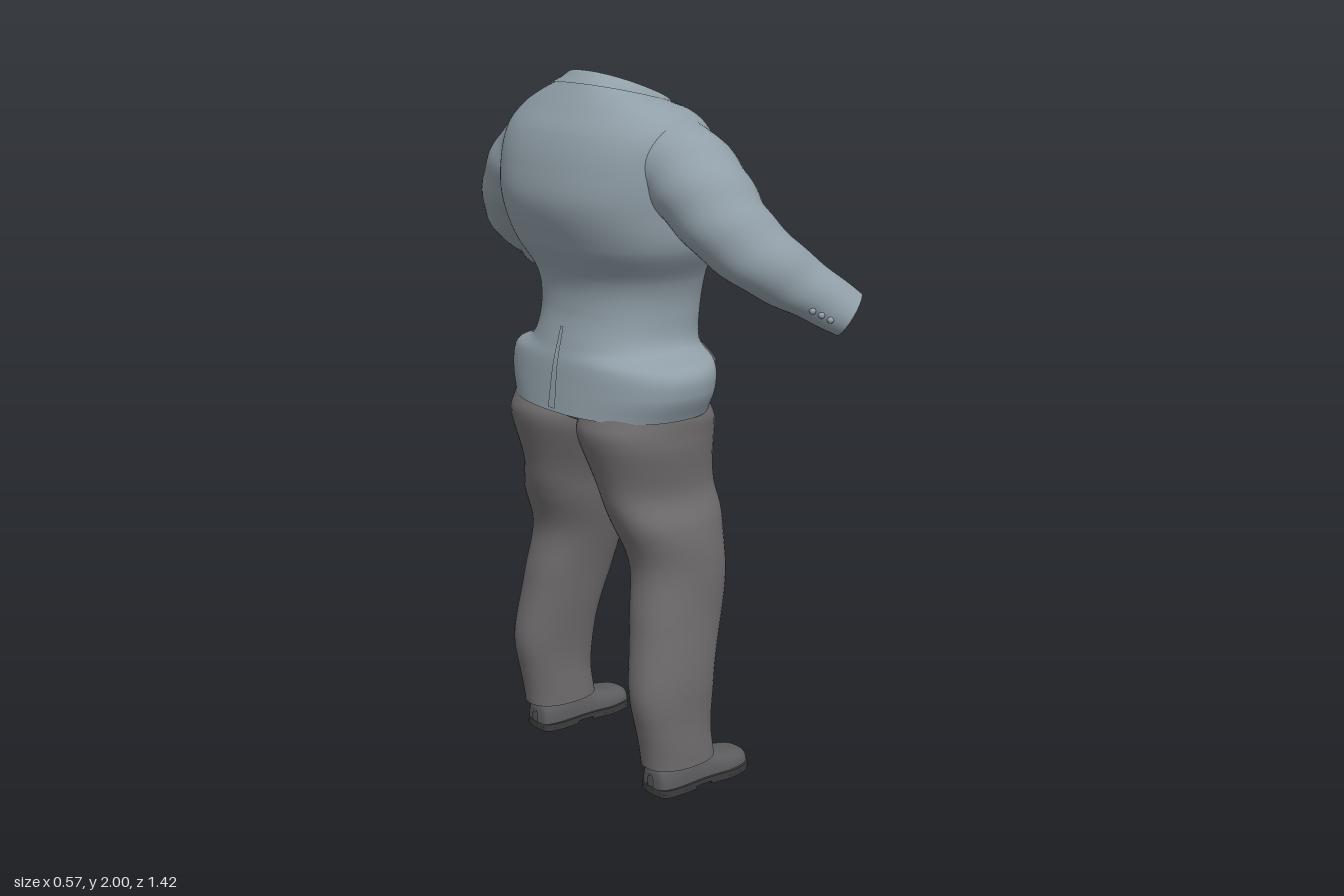
import * as THREE from 'three';
import { ParametricGeometry } from 'three/addons/geometries/ParametricGeometry.js';

const mat = (name, color) => {
  const m = new THREE.MeshStandardMaterial({ color, side: THREE.DoubleSide });
  m.name = name;
  return m;
};

// Smoothly interpolates table rows; t runs from 0 to 1
function rowSampler(rows) {
  const n = rows[0].length, curves = [];
  for (let i = 0; i < n; i += 3) {
    curves.push(new THREE.CatmullRomCurve3(
      rows.map(r => new THREE.Vector3(r[i], r[i + 1] ?? 0, r[i + 2] ?? 0)), false, 'catmullrom', 0.5));
  }
  return t => curves.flatMap(c => c.getPoint(THREE.MathUtils.clamp(t, 0, 1)).toArray());
}
const spow = (v, e) => Math.sign(v) * Math.abs(v) ** e;

// Jacket body rings: height, centre x, half depth, half width, forward tilt
const bodyRows = [
  [1.09, -0.035, 0.215, 0.312, 0], [1.16, -0.03, 0.21, 0.345, 0], [1.225, -0.025, 0.205, 0.337, 0],
  [1.27, -0.015, 0.202, 0.245, 0], [1.36, 0, 0.195, 0.232, 0], [1.45, 0, 0.2, 0.252, 0],
  [1.55, -0.025, 0.228, 0.312, 0], [1.66, -0.04, 0.25, 0.33, 0], [1.76, -0.045, 0.235, 0.34, 0],
  [1.83, -0.04, 0.212, 0.335, -0.05], [1.88, -0.032, 0.18, 0.3, -0.1], [1.915, -0.02, 0.155, 0.23, -0.19],
  [1.935, -0.01, 0.138, 0.15, -0.3], [1.952, -0.003, 0.125, 0.122, -0.36],
  [1.945, 0, 0.11, 0.113, -0.36], [1.9, 0, 0.105, 0.11, -0.3],
];
const body = rowSampler(bodyRows);
const topT = 13 / 15;

function bodyPoint(t, a, off, out) {
  const [y, cx, rx, rz, tilt] = body(t);
  const x = cx + (rx + off) * spow(Math.cos(a), 0.87);
  const z = -(rz + off) * spow(Math.sin(a), 0.87);
  return out.set(x, y + tilt * x, z);
}

// Finds the jacket surface at a height and sideways position
function onBody(y, z, off, dir, out) {
  let lo = 0, hi = topT;
  for (let i = 0; i < 24; i++) {
    const t = (lo + hi) / 2, rz = body(t)[3];
    const s = spow(THREE.MathUtils.clamp(-z / rz, -1, 1), 1 / 0.87);
    const a = dir > 0 ? Math.asin(s) : Math.PI - Math.asin(s);
    bodyPoint(t, a, 0, out);
    if (out.y < y) lo = t; else hi = t;
  }
  return out.set(out.x + dir * off, y, z);
}

// Thin cloth plate lying on the jacket; rows are [y, z start, z end]
function patch(rows, off, dir = 1) {
  const n = rows.length - 1;
  return new ParametricGeometry((u, v, p) => {
    const i = Math.min(Math.floor(v * n), n - 1), k = v * n - i;
    const r = rows[i].map((q, j) => q + (rows[i + 1][j] - q) * k);
    onBody(r[0], r[1] + (r[2] - r[1]) * u, off, dir, p);
  }, 8, n * 6);
}

// Sleeve rings: centre and radius
const armRows = [
  [-0.035, 1.8, 0.1, 0.1], [-0.04, 1.785, 0.23, 0.122], [-0.035, 1.75, 0.32, 0.124], [-0.028, 1.685, 0.4, 0.12],
  [-0.005, 1.61, 0.47, 0.106], [0.05, 1.54, 0.535, 0.092], [0.14, 1.47, 0.59, 0.076], [0.225, 1.403, 0.658, 0.063],
];
const arm = rowSampler(armRows);
function armPoint(t, a, scale, out) {
  const [x, y, z, r] = arm(t);
  const c0 = new THREE.Vector3(...arm(t - 0.01)), c1 = new THREE.Vector3(...arm(t + 0.01));
  const T = c1.sub(c0).normalize();
  const N = new THREE.Vector3(1, 0.2, 0).addScaledVector(T, -T.x - 0.2 * T.y).normalize();
  const B = new THREE.Vector3().crossVectors(T, N);
  const q = r * scale * (1 + 0.015 * Math.sin(t * 40 + 2 * a));
  return out.set(x, y, z).addScaledVector(N, q * 1.04 * Math.cos(a)).addScaledVector(B, q * 0.94 * Math.sin(a));
}

// Trouser leg rings: height, centre x, centre z, half depth, half width
const legRows = [
  [0.085, -0.015, 0.278, 0.115, 0.078], [0.2, -0.03, 0.278, 0.12, 0.077], [0.33, -0.035, 0.272, 0.135, 0.086],
  [0.5, 0, 0.25, 0.143, 0.095], [0.65, 0.022, 0.228, 0.143, 0.11], [0.78, 0.005, 0.203, 0.165, 0.122],
  [0.88, -0.012, 0.172, 0.178, 0.118], [1.02, -0.03, 0.155, 0.2, 0.15], [1.09, -0.033, 0.152, 0.19, 0.15],
  [1.17, -0.03, 0.14, 0.15, 0.13], [1.25, -0.02, 0.11, 0.12, 0.08],
];
const leg = rowSampler(legRows);

// Shoe sections: x, half width, top height
const shoeRows = [
  [-0.112, 0.012, 0.06], [-0.1, 0.045, 0.085], [-0.05, 0.056, 0.1], [0.03, 0.056, 0.1], [0.08, 0.059, 0.085],
  [0.14, 0.066, 0.068], [0.2, 0.055, 0.056], [0.224, 0.03, 0.044], [0.231, 0.004, 0.03],
];
const shoe = rowSampler(shoeRows);

export function createModel() {
  const jacket = mat('blue grey jacket cloth', 0x919fa8);
  const trousers = mat('dark grey trouser cloth', 0x6f6c6e);
  const leather = mat('shoe leather', 0x5c5b5d);
  const soleMat = mat('dark sole', 0x3c3c3e);
  const group = new THREE.Group();
  const add = (name, geo, m, parent = group) => {
    const mesh = new THREE.Mesh(geo, m);
    mesh.name = name;
    parent.add(mesh);
    return mesh;
  };
  const TAU = Math.PI * 2;

  // Jacket body with a small notch where the front edges part
  add('jacketBody', new ParametricGeometry((u, v, p) => {
    bodyPoint(v, u * TAU, 0, p);
    if (p.x > 0 && v < 0.1) p.y += 0.07 * Math.max(0, 1 - Math.abs(p.z) / 0.03) * (1 - v / 0.1);
  }, 120, 90), jacket);

  // Turned-down collar around the back and sides of the neck
  add('jacketCollar', new ParametricGeometry((u, v, p) =>
    bodyPoint((11.5 + 1.5 * v) / 15, 0.6 + u * (TAU - 1.2), 0.007 * (1 - v * 0.6), p), 60, 8), jacket);

  // Tie, front edge, buttons and back vent
  add('tie', patch([[1.86, -0.018, 0.018], [1.8, -0.03, 0.03], [1.68, -0.025, 0.025], [1.58, -0.005, 0.005]], 0.006), jacket);
  add('tieKnot', patch([[1.895, -0.026, 0.026], [1.85, -0.015, 0.015]], 0.012), jacket);
  add('frontEdge', patch([[1.45, -0.012, 0.006], [1.2, -0.02, 0.006]], 0.005), jacket);
  for (const y of [1.4, 1.225]) {
    const b = add('frontButton', new THREE.CylinderGeometry(0.014, 0.014, 0.012, 16), jacket);
    onBody(y, 0.005, 0.007, 1, b.position);
    b.rotation.z = Math.PI / 2;
  }
  add('backVent', patch([[1.32, 0, 0.012], [1.1, 0, 0.03]], 0.005, -1), jacket);

  for (const s of [1, -1]) {
    const side = s > 0 ? 'left' : 'right';
    const half = new THREE.Group();
    half.name = side + 'Side';
    group.add(half);
    const m = rows => rows.map(([y, a, b]) => [y, a * s, b * s]);

    // Lapel, shirt collar point and pocket flap
    add(side + 'Lapel', patch(m([[1.89, 0.085, 0.115], [1.85, 0.068, 0.12], [1.835, 0.062, 0.155],
      [1.72, 0.038, 0.115], [1.58, 0.015, 0.06], [1.44, 0, 0.008]]), 0.008), jacket);
    add(side + 'ShirtCollar', patch(m([[1.9, 0.015, 0.08], [1.87, 0.03, 0.08], [1.83, 0.055, 0.062]]), 0.009), jacket);
    add(side + 'PocketFlap', patch(m([[1.25, 0.15, 0.21], [1.235, 0.145, 0.265], [1.215, 0.135, 0.265]]), 0.007), jacket);

    // Sleeve with a hollow cuff
    const sleeve = (v0, v1, scale) => new ParametricGeometry((u, v, p) => {
      armPoint(v0 + (v1 - v0) * v, u * TAU, scale, p);
      p.z *= s;
    }, 40, 48);
    add(side + 'Sleeve', sleeve(0, 1, 1), jacket, half);
    add(side + 'SleeveLining', sleeve(0.82, 0.985, 0.85), jacket, half);
    add(side + 'CuffRim', new ParametricGeometry((u, v, p) => {
      armPoint(1 - 0.015 * v, u * TAU, 1 - 0.15 * v, p);
      p.z *= s;
    }, 40, 2), jacket, half);
    for (let i = 0; i < 3; i++) {
      const b = add(side + 'CuffButton', new THREE.SphereGeometry(0.009, 10, 8), jacket, half);
      armPoint(0.89 + i * 0.03, Math.PI * 0.9, 1, b.position);
      b.position.z *= s;
    }

    // Trouser leg with soft folds
    add(side + 'TrouserLeg', new ParametricGeometry((u, v, p) => {
      const [y, cx, cz, rx, rz] = leg(v), a = u * TAU;
      const k = 1 + 0.015 * Math.sin(v * 32 + 3 * Math.cos(a));
      p.set(cx + rx * k * spow(Math.cos(a), 0.88), y, s * (cz - rz * k * spow(Math.sin(a), 0.88)));
    }, 40, 60), trousers, half);

    // Shoe upper
    add(side + 'Shoe', new ParametricGeometry((u, v, p) => {
      const [x, w, h] = shoe(v), a = u * Math.PI;
      p.set(x, 0.015 + (h - 0.015) * Math.sin(a) ** 0.7, s * 0.276 + w * spow(Math.cos(a), 0.7));
    }, 24, 40), leather, half);

    // Welted sole and heel
    const outline = (t0, t1) => {
      const pts = [];
      for (let i = 0; i <= 24; i++) {
        const [x, w] = shoe(t0 + (t1 - t0) * i / 24);
        pts.push(new THREE.Vector2(x, w * 1.08 + 0.002));
      }
      return new THREE.Shape([...pts, ...pts.map(p => new THREE.Vector2(p.x, -p.y)).reverse()]);
    };
    const slab = (name, t0, t1, y0, y1) => {
      const g = new THREE.ExtrudeGeometry(outline(t0, t1), { depth: y1 - y0, bevelEnabled: false });
      g.rotateX(-Math.PI / 2).translate(0, y0, s * 0.276);
      add(side + name, g, soleMat, half);
    };
    slab('Sole', 0, 1, 0.008, 0.022);
    slab('Heel', 0, 0.34, 0, 0.01);
    slab('ForeSole', 0.46, 1, 0, 0.01);
  }

  // Seat joining both legs
  const seat = add('trouserSeat', new THREE.SphereGeometry(1, 32, 20), trousers);
  seat.scale.set(0.195, 0.1, 0.16);
  seat.position.set(-0.035, 1.125, 0);
  return group;
}
